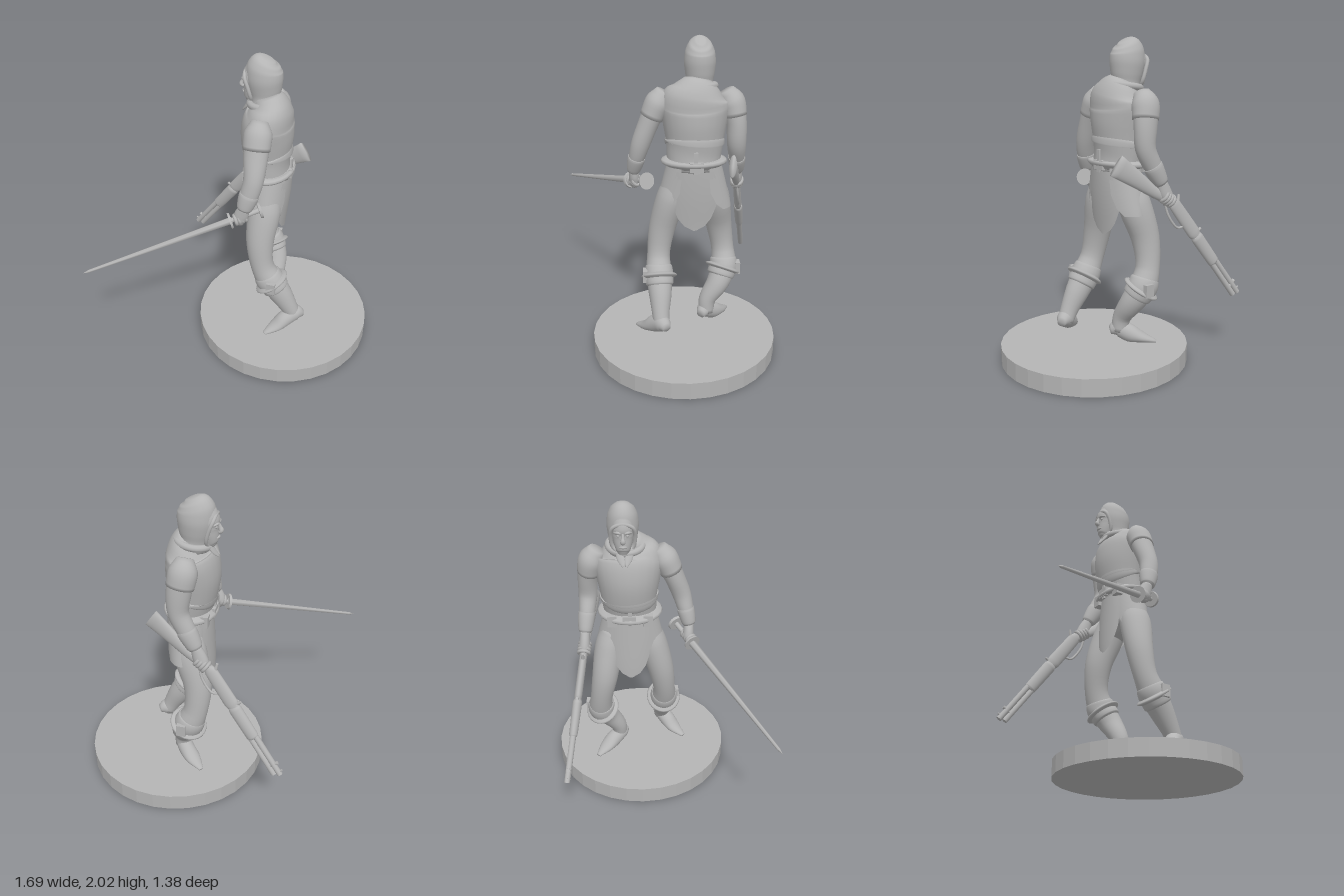
import * as THREE from 'three';

const stone = new THREE.MeshStandardMaterial({ color: 0xb4b4b4, side: THREE.DoubleSide });
stone.name = 'grey stone';
const V = (p) => new THREE.Vector3(p[0], p[1], p[2]);
const X = [1, 0, 0], Y = [0, 1, 0];

function add(parent, name, geometry) {
  const mesh = new THREE.Mesh(geometry, stone);
  mesh.name = name;
  parent.add(mesh);
  return mesh;
}

// Smooth closed skin over oval sections [x, y, z, radius along ref, radius across]
function loft(sections, ref = X, steps = 4, sides = 24) {
  const curve = new THREE.CatmullRomCurve3(sections.map(V), false, 'centripetal');
  const radii = new THREE.CatmullRomCurve3(sections.map((s) => new THREE.Vector3(s[3], s[4] ?? s[3], 0)));
  const rows = (sections.length - 1) * steps, pos = [], index = [];
  for (let i = 0; i <= rows; i++) {
    const c = curve.getPoint(i / rows), t = curve.getTangent(i / rows), r = radii.getPoint(i / rows);
    const u = V(ref).addScaledVector(t, -V(ref).dot(t)).normalize();
    const v = new THREE.Vector3().crossVectors(t, u);
    for (let j = 0; j < sides; j++) {
      const a = (j / sides) * Math.PI * 2;
      const p = c.clone().addScaledVector(u, Math.cos(a) * r.x).addScaledVector(v, Math.sin(a) * r.y);
      pos.push(p.x, p.y, p.z);
      if (i === rows) continue;
      const k = i * sides, n = (j + 1) % sides;
      index.push(k + j, k + n, k + sides + j, k + n, k + sides + n, k + sides + j);
    }
  }
  const last = rows * sides, m = pos.length / 3;
  pos.push(...sections[0].slice(0, 3), ...sections[sections.length - 1].slice(0, 3));
  for (let j = 0; j < sides; j++) {
    const n = (j + 1) % sides;
    index.push(m, n, j, m + 1, last + j, last + n);
  }
  const g = new THREE.BufferGeometry();
  g.setAttribute('position', new THREE.Float32BufferAttribute(pos, 3));
  g.setIndex(index);
  g.computeVertexNormals();
  return g;
}

// Hanging cloth panel: rows [y, radius x, radius z, half spread], centred at an angle round the hips
function panel(angle, rows) {
  const cols = 12, pos = [], index = [];
  rows.forEach(([y, a, b, spread], i) => {
    for (let j = 0; j <= cols; j++) {
      const t = angle + spread * (1 - (2 * j) / cols);
      pos.push(0.125 + a * Math.cos(t), y, -0.165 + b * Math.sin(t));
      if (i === rows.length - 1 || j === cols) continue;
      const k = i * (cols + 1) + j;
      index.push(k, k + 1, k + cols + 1, k + 1, k + cols + 2, k + cols + 1);
    }
  });
  const g = new THREE.BufferGeometry();
  g.setAttribute('position', new THREE.Float32BufferAttribute(pos, 3));
  g.setIndex(index);
  g.computeVertexNormals();
  return g;
}

// Turn a mesh so its local axis runs along a direction
function aim(mesh, at, dir, axis) {
  mesh.position.copy(at);
  mesh.quaternion.setFromUnitVectors(V(axis), dir);
  return mesh;
}

function rod(parent, name, p, q, r0, r1 = r0, sides = 16) {
  const d = q.clone().sub(p), len = d.length();
  return aim(add(parent, name, new THREE.CylinderGeometry(r1, r0, len, sides)), p.clone().lerp(q, 0.5), d.normalize(), Y);
}

// Palm and curled fingers round a grip
function fist(parent, name, wrist, at, dir, grip) {
  const g = new THREE.Group();
  g.name = name;
  parent.add(g);
  add(g, 'palm', loft([[...wrist, 0.033, 0.03], [...at.clone().lerp(V(wrist), 0.4).toArray(), 0.045, 0.034],
    [at.x, at.y, at.z, 0.045, 0.036], [at.x, at.y - 0.045, at.z, 0.02, 0.02]]));
  for (let i = 0; i < 4; i++) {
    aim(add(g, 'finger', new THREE.TorusGeometry(grip, 0.0115, 8, 16)),
      at.clone().addScaledVector(dir, (i - 1.5) * 0.021), dir, [0, 0, 1]);
  }
}

function buildBody(man) {
  add(man, 'vest', loft([[0.12, 1.2, -0.165, 0.135, 0.165], [0.11, 1.28, -0.165, 0.135, 0.17],
    [0.1, 1.38, -0.17, 0.152, 0.18], [0.097, 1.5, -0.17, 0.166, 0.2], [0.103, 1.6, -0.17, 0.16, 0.215],
    [0.115, 1.66, -0.17, 0.14, 0.205], [0.11, 1.71, -0.18, 0.115, 0.15], [0.09, 1.76, -0.19, 0.08, 0.09]]));
  add(man, 'vestHem', loft([[0.105, 1.365, -0.168, 0.148, 0.178], [0.103, 1.37, -0.168, 0.158, 0.187],
    [0.102, 1.385, -0.169, 0.16, 0.189], [0.1, 1.392, -0.169, 0.15, 0.178]]));
  add(man, 'belt', loft([[0.115, 1.23, -0.165, 0.13, 0.16], [0.115, 1.235, -0.165, 0.148, 0.182],
    [0.112, 1.275, -0.165, 0.148, 0.182], [0.112, 1.28, -0.165, 0.13, 0.16]]));
  for (const x of [-0.036, 0.262]) {
    add(man, 'buckle', new THREE.BoxGeometry(0.022, 0.06, 0.085)).position.set(x, 1.255, -0.17);
    add(man, 'beltTail', new THREE.BoxGeometry(0.012, 0.14, 0.026)).position.set(x, 1.28, -0.165);
  }
  for (const z of [-0.28, -0.05]) {
    add(man, 'pouch', new THREE.BoxGeometry(0.05, 0.075, 0.06)).position.set(0, 1.24, z);
  }
  const collar = add(man, 'collar', new THREE.TorusGeometry(0.105, 0.022, 10, 32));
  collar.position.set(0.085, 1.725, -0.185);
  collar.rotation.set(Math.PI / 2, 0.15, 0);
  for (const s of [-1, 1]) {
    add(man, 'collarFlap', loft([[-0.005, 1.74, -0.19 + s * 0.04, 0.012, 0.02],
      [-0.035, 1.69, -0.19 + s * 0.025, 0.01, 0.024], [-0.066, 1.645, -0.19 + s * 0.01, 0.004, 0.008]]));
  }
  // Hips, side skirts and hanging cloths
  add(man, 'hips', loft([[0.12, 1.24, -0.165, 0.125, 0.16], [0.125, 1.12, -0.165, 0.125, 0.18],
    [0.125, 1.02, -0.165, 0.11, 0.18], [0.12, 0.97, -0.165, 0.05, 0.12]]));
  const side = [[1.24, 0.14, 0.172, 1.05], [1.17, 0.138, 0.19, 1.1], [1.08, 0.135, 0.212, 1.1],
    [1.0, 0.132, 0.232, 0.95], [0.955, 0.13, 0.24, 0.7]];
  for (const s of [-1, 1]) add(man, 'sideSkirt', panel(s * Math.PI / 2, side));
  add(man, 'backCloth', panel(0, [[1.22, 0.14, 0.18, 0.7], [1.1, 0.135, 0.2, 0.8], [0.98, 0.122, 0.2, 0.75],
    [0.9, 0.112, 0.2, 0.55], [0.85, 0.106, 0.2, 0.33], [0.82, 0.104, 0.2, 0.05]]));
  add(man, 'frontCloth', panel(Math.PI, [[1.22, 0.145, 0.18, 0.7], [1.1, 0.15, 0.2, 0.7], [0.98, 0.155, 0.2, 0.65],
    [0.9, 0.157, 0.2, 0.5], [0.85, 0.157, 0.2, 0.3], [0.82, 0.157, 0.2, 0.05]]));
}

function buildHead(man) {
  const head = new THREE.Group();
  head.name = 'head';
  man.add(head);
  add(head, 'hood', loft([[0.085, 1.7, -0.19, 0.1, 0.1], [0.075, 1.75, -0.195, 0.092, 0.084],
    [0.07, 1.8, -0.198, 0.104, 0.09], [0.065, 1.87, -0.198, 0.115, 0.097], [0.065, 1.93, -0.198, 0.112, 0.09],
    [0.077, 1.975, -0.198, 0.09, 0.068], [0.088, 1.998, -0.198, 0.045, 0.03]]));
  add(head, 'face', loft([[-0.03, 1.71, -0.198, 0.025, 0.025], [-0.02, 1.73, -0.198, 0.045, 0.042],
    [-0.01, 1.78, -0.198, 0.056, 0.056], [0, 1.82, -0.198, 0.065, 0.064], [0, 1.845, -0.198, 0.064, 0.066],
    [0, 1.87, -0.198, 0.073, 0.068], [0.02, 1.92, -0.198, 0.07, 0.06]]));
  add(head, 'nose', loft([[-0.06, 1.86, -0.198, 0.008, 0.008], [-0.073, 1.83, -0.198, 0.012, 0.01],
    [-0.08, 1.81, -0.198, 0.015, 0.016], [-0.066, 1.797, -0.198, 0.01, 0.014]]));
  add(head, 'lips', loft([[-0.058, 1.768, -0.222, 0.004], [-0.066, 1.77, -0.198, 0.009], [-0.058, 1.768, -0.174, 0.004]], Y));
  for (const s of [-1, 1]) {
    add(head, 'brow', loft([[-0.066, 1.857, -0.198 + s * 0.012, 0.007], [-0.064, 1.862, -0.198 + s * 0.03, 0.009],
      [-0.045, 1.855, -0.198 + s * 0.052, 0.005]], Y));
    add(head, 'eye', new THREE.SphereGeometry(0.01, 12, 8)).position.set(-0.055, 1.84, -0.198 + s * 0.027);
  }
  const rim = [[-0.052, 1.91, 0], [-0.045, 1.885, 0.06], [-0.02, 1.82, 0.073], [-0.005, 1.75, 0.06], [-0.02, 1.705, 0],
    [-0.005, 1.75, -0.06], [-0.02, 1.82, -0.073], [-0.045, 1.885, -0.06]].map((p) => V(p).add(V([0, 0, -0.198])));
  add(head, 'hoodRim', new THREE.TubeGeometry(new THREE.CatmullRomCurve3(rim, true), 48, 0.012, 8, true));
}

function buildArm(man, name, path) {
  const radii = [[0.045, 0.045], [0.08, 0.072], [0.076, 0.064], [0.064, 0.06], [0.06, 0.052], [0.042, 0.038]];
  const arm = path.map((p, i) => [...p, ...radii[i]]);
  const grow = (s, k) => [s[0], s[1], s[2], s[3] * k, s[4] * k];
  const mix = (a, b, t) => a.map((v, i) => v + (b[i] - v) * t);
  add(man, name, loft(arm));
  add(man, name + 'ShoulderCap', loft([grow(arm[0], 1.1), grow(arm[1], 1.1), grow(mix(arm[1], arm[2], 0.7), 1.1)]));
  add(man, name + 'GloveCuff', loft([grow(mix(arm[4], arm[5], 0.05), 1.04), grow(mix(arm[4], arm[5], 0.2), 1.12),
    grow(mix(arm[4], arm[5], 0.9), 1.12), grow(arm[5], 0.9)]));
}

function buildLeg(man, name, path, foot) {
  const radii = [[0.09, 0.08], [0.108, 0.095], [0.092, 0.086], [0.078, 0.074], [0.09, 0.084], [0.08, 0.074], [0.06, 0.056], [0.05, 0.05]];
  const leg = path.map((p, i) => [...p, ...radii[i]]);
  add(man, name, loft(leg));
  // Folded boot cuff below the knee, with strap and knee plate
  const [knee, cuff, calf] = [leg[3], leg[4], leg[5]];
  const at = (a, b, t, r) => [...V(a).lerp(V(b), t).toArray(), r, r * 0.94];
  add(man, name + 'BootCuff', loft([at(knee, cuff, 0.5, 0.07), at(knee, cuff, 0.6, 0.09), at(knee, cuff, 1, 0.099),
    at(cuff, calf, 0.55, 0.095), at(cuff, calf, 0.7, 0.07)]));
  add(man, name + 'Strap', loft([at(cuff, calf, 0, 0.09), at(cuff, calf, 0.05, 0.103), at(cuff, calf, 0.25, 0.103), at(cuff, calf, 0.3, 0.09)]));
  const out = name === 'rearLeg' ? 0.09 : -0.09;
  add(man, name + 'Buckle', new THREE.BoxGeometry(0.06, 0.08, 0.03)).position.set(cuff[0] + 0.03, cuff[1], cuff[2] + out);
  const r = [[0.025, 0.028], [0.055, 0.052], [0.056, 0.054], [0.034, 0.05], [0.009, 0.016]];
  add(man, name + 'Boot', loft(foot.map((p, i) => [...p, ...r[i]]), Y));
}

function buildSword(man) {
  const sword = new THREE.Group();
  sword.name = 'sword';
  man.add(sword);
  const pommel = V([0.14, 1.13, 0.135]), tip = V([-0.84, 0.825, 0.69]);
  const on = (t) => pommel.clone().lerp(tip, t), dir = tip.clone().sub(pommel).normalize();
  rod(sword, 'blade', on(0.16), on(0.97), 0.024, 0.01, 6);
  rod(sword, 'bladeTip', on(0.97), tip, 0.01, 0.001, 6);
  rod(sword, 'grip', pommel, on(0.17), 0.016);
  rod(sword, 'pommel', on(-0.006), on(0.008), 0.054, 0.05, 24);
  rod(sword, 'guard', on(0.163), on(0.175), 0.05, 0.054, 24);
  fist(man, 'swordHand', [0.058, 1.18, 0.213], on(0.11).add(V([0, 0, 0.012])), dir, 0.029);
}

function buildRifle(man) {
  const rifle = new THREE.Group();
  rifle.name = 'rifle';
  man.add(rifle);
  const back = V([-0.08, 1.02, -0.47]), muzzle = V([-0.54, 0.375, -0.585]);
  const dir = muzzle.clone().sub(back).normalize();
  const up = V([-0.81, 0.58, 0]).addScaledVector(dir, -V([-0.81, 0.58, 0]).dot(dir)).normalize();
  const on = (t, h = 0) => back.clone().lerp(muzzle, t).addScaledVector(up, h);
  rod(rifle, 'barrel', on(0.2, 0.018), on(1, 0.018), 0.02, 0.018);
  rod(rifle, 'magazineTube', on(0.2, -0.018), on(0.98, -0.018), 0.019, 0.018);
  const section = (t, a, b) => [...on(t).toArray(), a, b];
  add(rifle, 'foreStock', loft([section(0.34, 0.036, 0.024), section(0.37, 0.043, 0.03), section(0.62, 0.04, 0.027), section(0.64, 0.03, 0.02)], up.toArray()));
  add(rifle, 'receiver', loft([section(-0.03, 0.026, 0.02), section(0.02, 0.042, 0.024), section(0.3, 0.046, 0.025), section(0.35, 0.034, 0.022)], up.toArray()));
  rod(rifle, 'barrelBand', on(0.9, -0.03), on(0.9, 0.048), 0.012);
  rod(rifle, 'frontSight', on(0.97, 0.03), on(0.97, 0.048), 0.006);
  rod(rifle, 'rearSight', on(0.33, 0.03), on(0.33, 0.06), 0.009);
  rod(rifle, 'hammer', on(0.02, 0.03), on(-0.02, 0.065), 0.011, 0.008);
  add(rifle, 'lever', new THREE.TubeGeometry(new THREE.CatmullRomCurve3(
    [on(0.2, -0.035), on(0.17, -0.075), on(0.04, -0.08), on(-0.06, -0.05)]), 20, 0.008, 8));
  add(rifle, 'stock', loft([[-0.1, 0.995, -0.474, 0.03, 0.02], [-0.04, 1.045, -0.462, 0.029, 0.021],
    [0.05, 1.095, -0.445, 0.034, 0.022], [0.18, 1.19, -0.415, 0.052, 0.024], [0.305, 1.277, -0.385, 0.07, 0.023]], Y));
  fist(man, 'rifleHand', [0.01, 1.16, -0.455], V([-0.03, 1.055, -0.463]), V([-0.8, -0.58, -0.12]).normalize(), 0.034);
}

export function createModel() {
  const root = new THREE.Group();
  root.name = 'figurine';
  const disc = new THREE.CylinderGeometry(0.594, 0.594, 0.11, 32).toNonIndexed();
  disc.computeVertexNormals();
  add(root, 'base', disc).position.set(0.253, 0.055, -0.1);

  const man = new THREE.Group();
  man.name = 'swordsman';
  root.add(man);
  buildBody(man);
  buildHead(man);
  buildArm(man, 'swordArm', [[0.1, 1.695, 0.02], [0.1, 1.62, 0.062], [0.102, 1.5, 0.115], [0.105, 1.37, 0.165], [0.088, 1.28, 0.19], [0.058, 1.17, 0.215]]);
  buildArm(man, 'rifleArm', [[0.09, 1.695, -0.36], [0.095, 1.62, -0.4], [0.115, 1.5, -0.425], [0.12, 1.37, -0.43], [0.075, 1.27, -0.44], [0.01, 1.15, -0.455]]);
  buildLeg(man, 'rearLeg', [[0.13, 1.12, -0.06], [0.125, 1, -0.02], [0.115, 0.8, 0.035], [0.14, 0.62, 0.06],
    [0.195, 0.51, 0.06], [0.27, 0.4, 0.055], [0.335, 0.29, 0.055], [0.37, 0.22, 0.05]],
  [[0.425, 0.23, 0.02], [0.38, 0.24, 0.045], [0.32, 0.21, 0.09], [0.265, 0.168, 0.14], [0.2, 0.136, 0.205]]);
  buildLeg(man, 'frontLeg', [[0.11, 1.12, -0.27], [0.09, 1, -0.305], [0.035, 0.8, -0.34], [0.04, 0.62, -0.37],
    [0.085, 0.5, -0.375], [0.135, 0.4, -0.335], [0.158, 0.29, -0.265], [0.17, 0.2, -0.255]],
  [[0.215, 0.2, -0.215], [0.175, 0.215, -0.245], [0.125, 0.185, -0.3], [0.07, 0.16, -0.35], [0, 0.132, -0.41]]);
  buildSword(man);
  buildRifle(man);
  return root;
}
